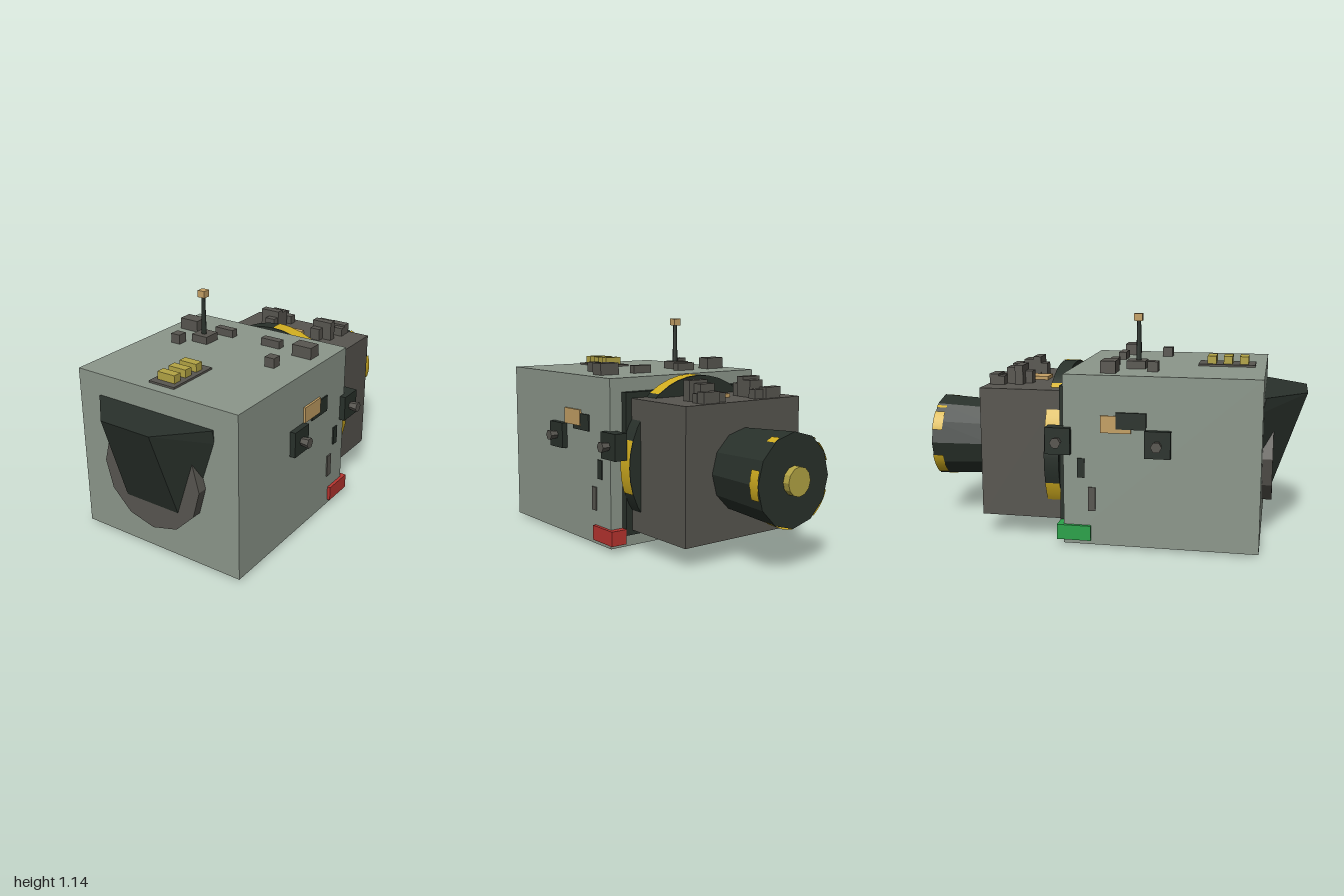
import * as THREE from 'three';
import { ConvexGeometry } from 'three/addons/geometries/ConvexGeometry.js';

const mat = (name, color, side = THREE.FrontSide) => {
  const m = new THREE.MeshStandardMaterial({ color, side });
  m.name = name;
  return m;
};

export function createModel() {
  const root = new THREE.Group();
  root.name = 'utilityPod';
  const hull = mat('sageHull', 0x8c978b);
  const grey = mat('warmGrey', 0x585650);
  const dark = mat('darkGreen', 0x29312b);
  const yellow = mat('warningYellow', 0xd2ae20, THREE.DoubleSide);
  const gold = mat('oldGold', 0xb3a444);
  const tan = mat('tan', 0xc4a064);
  const red = mat('redLamp', 0xb8342f);
  const green = mat('greenLamp', 0x2ba24a);

  const add = (name, geo, m) => {
    const mesh = new THREE.Mesh(geo, m);
    mesh.name = name;
    root.add(mesh);
    return mesh;
  };
  // box from its limits on each axis
  const box = (name, m, x0, x1, y0, y1, z0, z1) => {
    const g = new THREE.BoxGeometry(Math.abs(x1 - x0), y1 - y0, z1 - z0);
    g.translate((x0 + x1) / 2, (y0 + y1) / 2, (z0 + z1) / 2);
    return add(name, g, m);
  };
  // cylinder along z; the angle runs from the top towards +x
  const AXIS = 0.4325;
  const drum = (name, m, rRear, rFront, zRear, zFront, sides, flat, y = AXIS, arc = null) => {
    let g = arc
      ? new THREE.CylinderGeometry(rRear, rFront, zFront - zRear, sides, 1, true,
        THREE.MathUtils.degToRad(arc[0]), THREE.MathUtils.degToRad(arc[1] - arc[0]))
      : new THREE.CylinderGeometry(rRear, rFront, zFront - zRear, sides);
    g.rotateX(-Math.PI / 2);
    g.translate(0, y, (zRear + zFront) / 2);
    if (flat) {
      g = g.toNonIndexed();
      g.computeVertexNormals();
    }
    return add(name, g, m);
  };

  // main body
  box('mainHull', hull, -0.47, 0.47, 0.01, 0.865, -0.175, 0.79);

  // nose: round collar with a wedge visor
  drum('noseCollar', grey, 0.285, 0.285, 0.78, 0.84, 12, true, 0.44);
  const nose = [];
  for (const s of [-1, 1]) {
    for (const [x, y, z] of [[0.14, 0.755, 1], [0.157, 0.243, 0.824], [0.335, 0.755, 0.8],
      [0.335, 0.755, 0.78], [0.34, 0.685, 0.785], [0.2, 0.243, 0.78]]) {
      nose.push(new THREE.Vector3(s * x, y, z));
    }
  }
  add('noseVisor', new ConvexGeometry(nose), dark);

  // rear module, joint plate and striped ring
  box('jointPlate', dark, -0.4, 0.4, 0.075, 0.795, -0.21, -0.17);
  box('rearModule', grey, -0.365, 0.365, 0.1, 0.765, -0.635, -0.205);
  drum('ring', dark, 0.432, 0.432, -0.285, -0.21, 40, false);
  for (let a = 0; a < 360; a += 72) {
    drum('ringStripe', yellow, 0.435, 0.435, -0.285, -0.21, 4, false, AXIS, [a, a + 36]);
  }

  // engine barrel with rim marks and end cap
  drum('engineBarrel', dark, 0.225, 0.205, -0.965, -0.635, 12, true);
  for (const arc of [[24, 34], [72, 108], [144, 180], [216, 252], [288, 315], [322, 326]]) {
    drum('engineMark', yellow, 0.226, 0.223, -0.965, -0.91, 4, false, AXIS, arc);
  }
  drum('engineCap', gold, 0.07, 0.07, -1, -0.96, 12, true);

  // hull top: button panel and antenna
  box('buttonPanel', grey, -0.074, 0.074, 0.86, 0.875, 0.445, 0.735);
  for (const z of [0.49, 0.573, 0.655]) box('button', gold, -0.05, 0.05, 0.87, 0.915, z, z + 0.045);
  box('antennaBase', grey, -0.238, -0.143, 0.86, 0.905, 0.1, 0.196);
  const mast = new THREE.CylinderGeometry(0.01, 0.014, 0.21, 8);
  mast.translate(-0.19, 1.005, 0.155);
  add('antennaMast', mast, dark);
  box('antennaTip', tan, -0.211, -0.169, 1.104, 1.14, 0.132, 0.174);

  // rear module roof plate
  box('roofPlate', tan, -0.053, 0.048, 0.76, 0.783, -0.465, -0.36);

  for (const s of [-1, 1]) {
    // box whose x limits are mirrored to this side
    const side = (name, m, x0, x1, ...r) => box(name, m, s * x0, s * x1, ...r);

    // hull roof blocks
    side('roofBlock', grey, 0.297, 0.407, 0.86, 0.925, 0, 0.075);
    side('roofBlock', grey, 0.09, 0.2, 0.86, 0.905, 0, 0.04);
    side('roofBlock', grey, 0.262, 0.316, 0.86, 0.915, 0.217, 0.27);

    // clustered blocks on the rear module: x0, x1, top, z0, z1
    for (const [x0, x1, y, z0, z1] of [
      [0.148, 0.247, 0.82, -0.62, -0.573], [0.095, 0.17, 0.81, -0.6, -0.555],
      [0.195, 0.248, 0.81, -0.572, -0.54], [0.115, 0.2, 0.85, -0.54, -0.49],
      [0.115, 0.228, 0.865, -0.49, -0.447], [0.12, 0.177, 0.83, -0.45, -0.41]]) {
      side('rearBlock', grey, x0, x1, 0.76, y, z0, z1);
    }

    // thruster pods with flared six-sided nozzles
    for (const [z, inner] of [[0.296, 0.46], [-0.198, 0.43]]) {
      side('thrusterPod', dark, inner, 0.5, 0.47, 0.604, z - 0.063, z + 0.063);
      let n = new THREE.CylinderGeometry(0.028, 0.02, 0.05, 6);
      n.rotateZ(-s * Math.PI / 2);
      n.translate(s * 0.52, 0.537, z);
      n = n.toNonIndexed();
      n.computeVertexNormals();
      add('thrusterNozzle', n, grey);
    }

    // side plates, colours swapped between sides
    side('sidePlate', s > 0 ? tan : dark, 0.46, 0.481, 0.604, 0.686, 0.09, 0.238);
    side('sidePlate', s > 0 ? dark : tan, 0.46, 0.477, 0.583, 0.668, 0.013, 0.163);
    side('sideSlot', dark, 0.46, 0.477, 0.353, 0.45, -0.104, -0.067);
    side('sideSlot', grey, 0.46, 0.477, 0.185, 0.305, -0.05, -0.013);

    // corner lamps wrapping the rear edge
    const lamp = s > 0 ? red : green;
    side('cornerLampSide', lamp, 0.46, 0.487, 0.032, 0.108, -0.208, -0.036);
    side('cornerLampBack', lamp, 0.4, 0.465, 0.032, 0.108, -0.208, -0.17);
  }
  return root;
}
